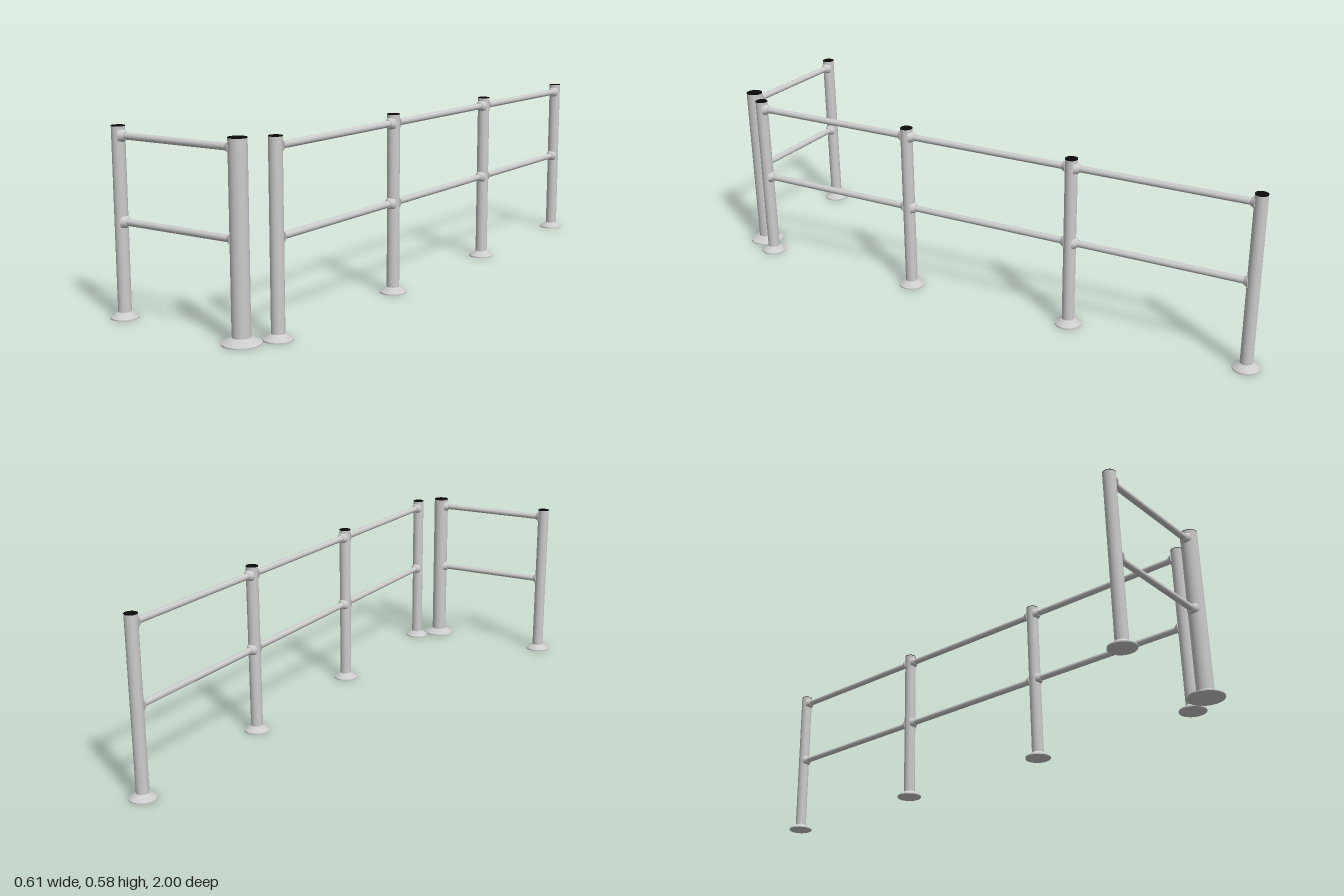
import * as THREE from 'three';

const H = 0.585, POST_R = 0.0205, FAT = 1.35, RAIL_R = 0.0108;
const RAIL_HEIGHTS = [0.297, 0.555];
const steel = new THREE.MeshStandardMaterial({ color: 0xcccccc });
const black = new THREE.MeshStandardMaterial({ color: 0x0a0a0a });

function add(parent, name, geometry, material = steel) {
  const mesh = new THREE.Mesh(geometry, material);
  mesh.name = name;
  parent.add(mesh);
  return mesh;
}

// Upright with a flared floor flange and a dark cap; k widens it
function makePost(name, x, z, k = 1) {
  const post = new THREE.Group();
  post.name = name;
  const r = POST_R * k, footR = 0.044 * k, cap = 0.002;
  add(post, 'upright', new THREE.CylinderGeometry(r, r, H - cap, 40, 1, true)).position.y = (H - cap) / 2;
  add(post, 'cap', new THREE.CylinderGeometry(r, r, cap, 40), black).position.y = H - cap / 2;
  add(post, 'flangeRim', new THREE.CylinderGeometry(footR, footR, 0.004, 40)).position.y = 0.002;
  add(post, 'flangeCone', new THREE.CylinderGeometry(r, footR, 0.016, 40, 1, true)).position.y = 0.012;
  post.position.set(x, 0, z);
  return post;
}

// Horizontal rail between two post axes, with a collar cone at each end
function makeRail(name, a, b, ra, rb) {
  const rail = new THREE.Group();
  rail.name = name;
  const length = a.distanceTo(b);
  // Stop just inside the post walls
  const from = ra * 0.6, to = length - rb * 0.6;
  add(rail, 'bar', new THREE.CylinderGeometry(RAIL_R, RAIL_R, to - from, 28)).position.y = (from + to) / 2;
  const collar = new THREE.CylinderGeometry(0.0125, 0.0215, 0.015, 28);
  add(rail, 'startCollar', collar).position.y = ra + 0.0015;
  const end = add(rail, 'endCollar', collar);
  end.position.y = length - rb - 0.0015;
  end.rotation.x = Math.PI;
  rail.position.copy(a);
  rail.quaternion.setFromUnitVectors(new THREE.Vector3(0, 1, 0), b.clone().sub(a).normalize());
  return rail;
}

// A run of posts, each neighbouring pair joined by two rails
function makeFence(name, posts) {
  const fence = new THREE.Group();
  fence.name = name;
  posts.forEach(([x, z, k = 1], i) => {
    fence.add(makePost('post', x, z, k));
    if (i === 0) return;
    const [px, pz, pk = 1] = posts[i - 1];
    for (const y of RAIL_HEIGHTS) {
      fence.add(makeRail('rail', new THREE.Vector3(px, y, pz), new THREE.Vector3(x, y, z), POST_R * pk, POST_R * k));
    }
  });
  return fence;
}

export function createModel() {
  const model = new THREE.Group();
  model.name = 'guardRail';
  // Long run along the side
  model.add(makeFence('sideFence', [0, 1, 2, 3].map((i) => [0.26, 0.857 - i * 0.6043])));
  // Short front run ending in a thicker hinge post
  model.add(makeFence('frontGate', [[-0.26, 0.9405], [0.195, 0.9405, FAT]]));
  return model;
}
